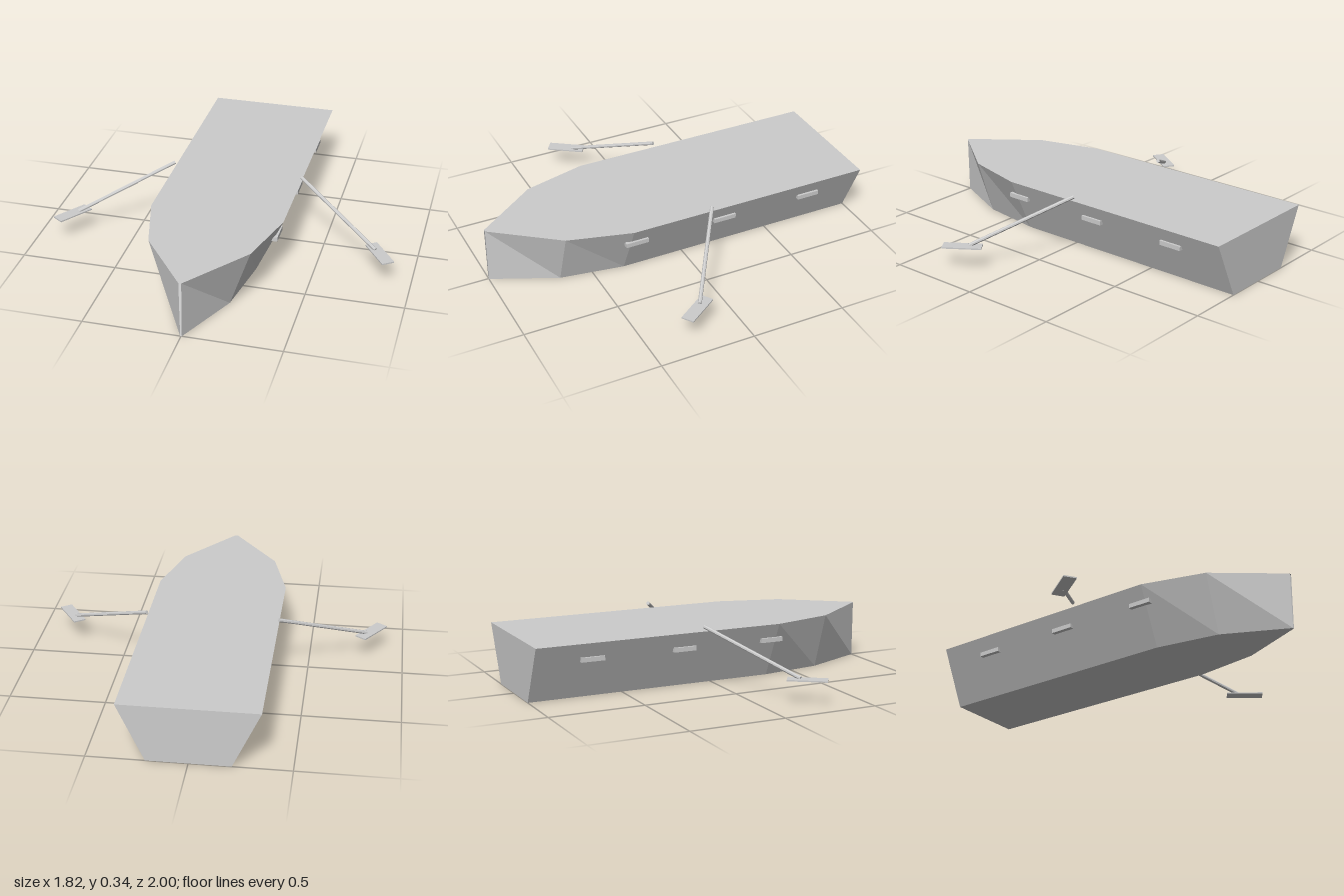
import * as THREE from 'three';

const paint = new THREE.MeshStandardMaterial({ color: 0xcccccc, flatShading: true, side: THREE.DoubleSide });
paint.name = 'light grey';

// Hull stations from stern to bow: z, half width at the deck, half width at the floor
const STATIONS = [
  [-1, 0.347, 0.208],
  [0.333, 0.347, 0.208],
  [0.667, 0.258, 0.155],
  [1, 0.007, 0.004],
];
const HEIGHT = 0.3;

function hullGeometry() {
  const points = [];
  const quad = (a, b, c, d) => points.push(...a, ...b, ...c, ...a, ...c, ...d);
  // Corners: top left, top right, bottom right, bottom left
  const rings = STATIONS.map(([z, top, low]) => [
    [top, HEIGHT, z], [-top, HEIGHT, z], [-low, 0, z], [low, 0, z],
  ]);
  for (let i = 0; i < rings.length - 1; i++) {
    for (let k = 0; k < 4; k++) {
      const n = (k + 1) % 4;
      quad(rings[i][k], rings[i + 1][k], rings[i + 1][n], rings[i][n]);
    }
  }
  quad(...rings[0]); // transom; the narrow slit at the stem stays open
  const geometry = new THREE.BufferGeometry();
  geometry.setAttribute('position', new THREE.Float32BufferAttribute(points, 3));
  geometry.computeVertexNormals();
  return geometry;
}

function part(name, geometry) {
  const mesh = new THREE.Mesh(geometry, paint);
  mesh.name = name;
  return mesh;
}

// One oar: slanted round shaft and a flat blade
function oar(name, side) {
  const group = new THREE.Group();
  group.name = name;
  const inner = new THREE.Vector3(side * 0.348, 0.326, -0.103);
  const outer = new THREE.Vector3(side * 0.8, 0.126, 0.197);
  const along = outer.clone().sub(inner);
  const shaft = part('oarShaft', new THREE.CylinderGeometry(0.01, 0.01, along.length(), 8));
  shaft.position.copy(inner).add(outer).multiplyScalar(0.5);
  shaft.quaternion.setFromUnitVectors(new THREE.Vector3(0, 1, 0), along.normalize());
  const blade = part('oarBlade', new THREE.BoxGeometry(0.066, 0.007, 0.2));
  blade.position.set(side * 0.825, 0.122, 0.222);
  blade.rotation.y = side * 0.6;
  group.add(shaft, blade);
  return group;
}

export function createModel() {
  const boat = new THREE.Group();
  boat.name = 'rowingBoat';
  boat.add(part('hull', hullGeometry()));

  // Benches run through the hull, their ends show on both sides
  for (const z of [0.304, -0.196, -0.696]) {
    const bench = part('bench', new THREE.BoxGeometry(0.648, 0.023, 0.124));
    bench.position.set(0, 0.213, z);
    boat.add(bench);
  }

  boat.add(oar('leftOar', 1), oar('rightOar', -1));
  return boat;
}
